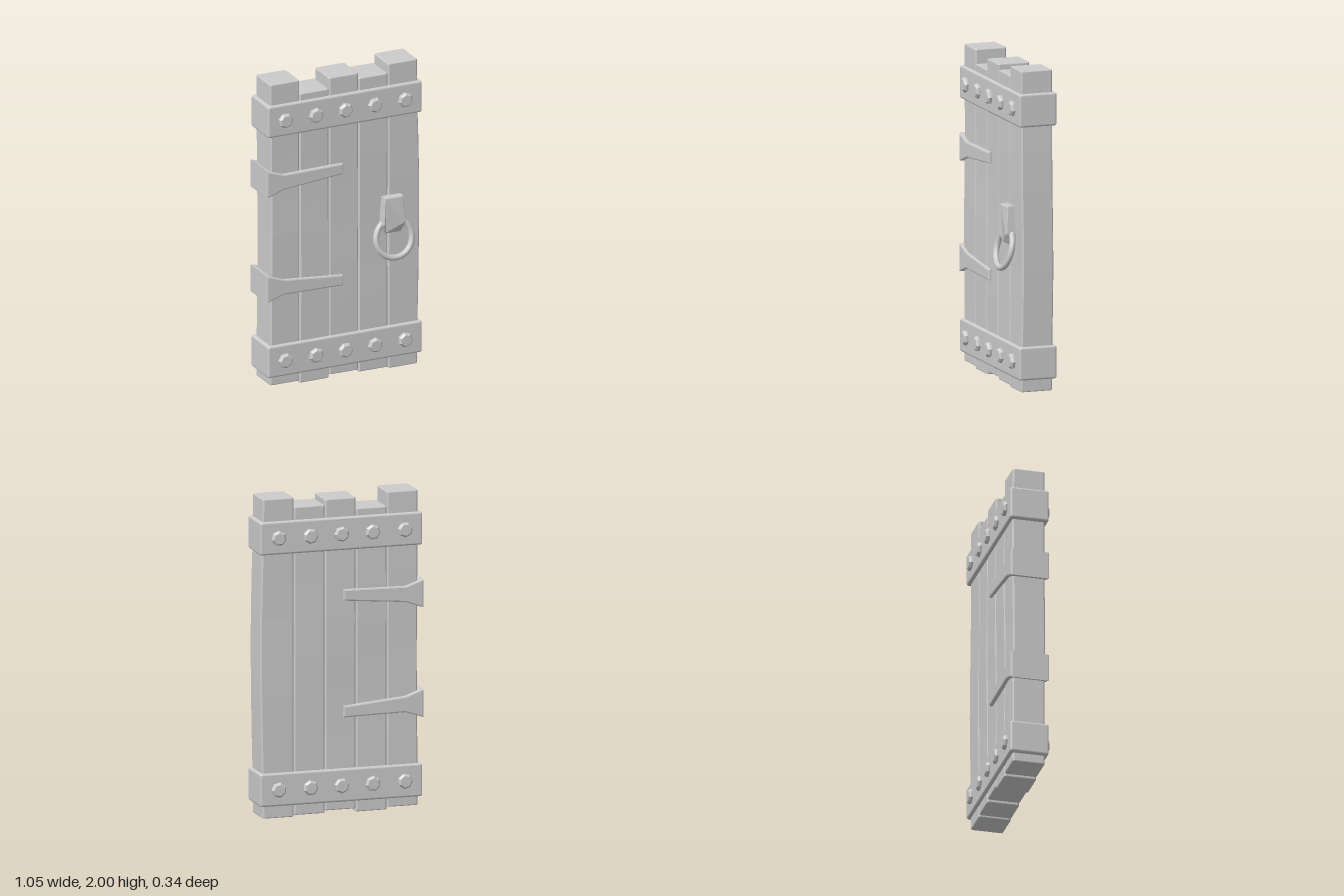
import * as THREE from 'three';
import { RoundedBoxGeometry } from 'three/addons/geometries/RoundedBoxGeometry.js';

const material = new THREE.MeshStandardMaterial({ color: 0xcccccc });
const flatMaterial = new THREE.MeshStandardMaterial({ color: 0xcccccc, flatShading: true });

const FRONT = 0.098, BACK = -0.147; // faces of the bands and straps

function addMesh(parent, name, geometry, mat = material) {
  const mesh = new THREE.Mesh(geometry, mat);
  mesh.name = name;
  parent.add(mesh);
  return mesh;
}

// Bevelled slab whose outer outline is the given polygon, from z0 to z1
function slab(points, z0, z1, bevel, steps = 1) {
  const shape = new THREE.Shape(points.map(([x, y]) => new THREE.Vector2(x, y)));
  const geometry = new THREE.ExtrudeGeometry(shape, {
    depth: z1 - z0 - 2 * bevel, steps,
    bevelEnabled: true, bevelThickness: bevel, bevelSize: bevel, bevelOffset: -bevel, bevelSegments: 2,
  });
  return geometry.translate(0, 0, z0 + bevel);
}

// Move every vertex by a rule, then refresh the normals
function warp(geometry, rule) {
  const p = geometry.attributes.position;
  const v = new THREE.Vector3();
  for (let i = 0; i < p.count; i++) {
    rule(v.fromBufferAttribute(p, i));
    p.setXYZ(i, v.x, v.y, v.z);
  }
  geometry.computeVertexNormals();
  return geometry;
}

// Upright plank with chamfered long edges and a slightly uneven outline
function plankGeometry(x, bottom, top, bulge) {
  const w = 0.0995, d = 0.102, c = 0.009;
  const outline = [
    [w - c, -d], [w, -d + c], [w, d - c], [w - c, d],
    [-w + c, d], [-w, d - c], [-w, -d + c], [-w + c, -d],
  ];
  const geometry = slab(outline, bottom, top, 0.006, 8);
  geometry.rotateX(-Math.PI / 2).translate(x, 0, -0.024);
  return warp(geometry, (v) => {
    const bend = Math.sin(Math.PI * THREE.MathUtils.clamp((v.y - 0.15) / 1.65, 0, 1));
    if (Math.abs(v.x) > 0.4) v.x += bulge * bend;
    v.z += 0.004 * Math.sin(v.y * 4 + x * 5) * bend;
  });
}

// Faceted bolt running right through a band, with a chamfered head on each face
function boltGeometry() {
  const r = 0.048, c = 0.012, z0 = -0.169, z1 = 0.123;
  const profile = [[0, z0], [r - c, z0], [r, z0 + c], [r, z1 - c], [r - c, z1], [0, z1]];
  return new THREE.LatheGeometry(profile.map(([a, b]) => new THREE.Vector2(a, b)), 7).rotateX(Math.PI / 2);
}

export function createModel() {
  const door = new THREE.Group();
  door.name = 'door';

  // Planks: bottom, top, sideways bulge
  const planks = new THREE.Group();
  planks.name = 'planks';
  door.add(planks);
  [
    [0.02, 1.995, 0.005], [0.005, 1.905, 0], [0.025, 1.975, 0], [0.01, 1.94, 0], [0, 2, 0.016],
  ].forEach(([bottom, top, bulge], i) => {
    addMesh(planks, 'plank', plankGeometry((i - 2) * 0.2, bottom, top, bulge));
  });

  // Cross bands with a row of bolts
  const bolt = boltGeometry();
  for (const y of [0.18, 1.757]) {
    const band = new THREE.Group();
    band.name = y > 1 ? 'topBand' : 'bottomBand';
    door.add(band);
    const bar = addMesh(band, 'bar', new RoundedBoxGeometry(1.046, 0.207, FRONT - BACK, 3, 0.014));
    bar.position.set(0, y, (FRONT + BACK) / 2);
    [-0.408, -0.2, 0, 0.2, 0.405].forEach((x, i) => {
      const b = addMesh(band, 'bolt', bolt, flatMaterial);
      b.position.set(x, y, 0);
      b.rotation.z = i * 0.35 + y;
    });
  }

  // Hinge straps wrapping the left-hand edge, the lower one mirrored
  const strap = [
    [-0.53, -0.088], [-0.51, -0.085], [-0.415, -0.05], [-0.015, -0.014],
    [-0.015, 0.056], [-0.415, 0.05], [-0.51, 0.082], [-0.53, 0.088],
  ];
  for (const [y, flip] of [[1.35, 1], [0.66, -1]]) {
    const points = strap.map(([x, dy]) => [x, dy * flip]);
    addMesh(door, 'hingeStrap', slab(points, BACK, FRONT, 0.009)).position.y = y;
  }

  // Handle: wedge-shaped mount, thickest just above its lower edge
  const handle = new THREE.Group();
  handle.name = 'handle';
  handle.position.x = 0.318;
  door.add(handle);
  const mountOutline = [
    [-0.055, 0.9], [0.055, 0.9], [0.077, 0.97], [0.063, 1.14], [-0.063, 1.14], [-0.077, 0.97],
  ];
  addMesh(handle, 'handleMount', warp(slab(mountOutline, 0.04, 0.14, 0.008), (v) => {
    if (v.z > 0.1) v.z -= v.y > 0.97 ? (v.y - 0.97) * 0.09 : (0.97 - v.y) * 0.45;
  }));
  const ring = addMesh(handle, 'handleRing', new THREE.TorusGeometry(0.121, 0.019, 12, 40));
  ring.position.set(0, 0.87, 0.122);
  ring.rotation.x = -0.24;

  return door;
}
